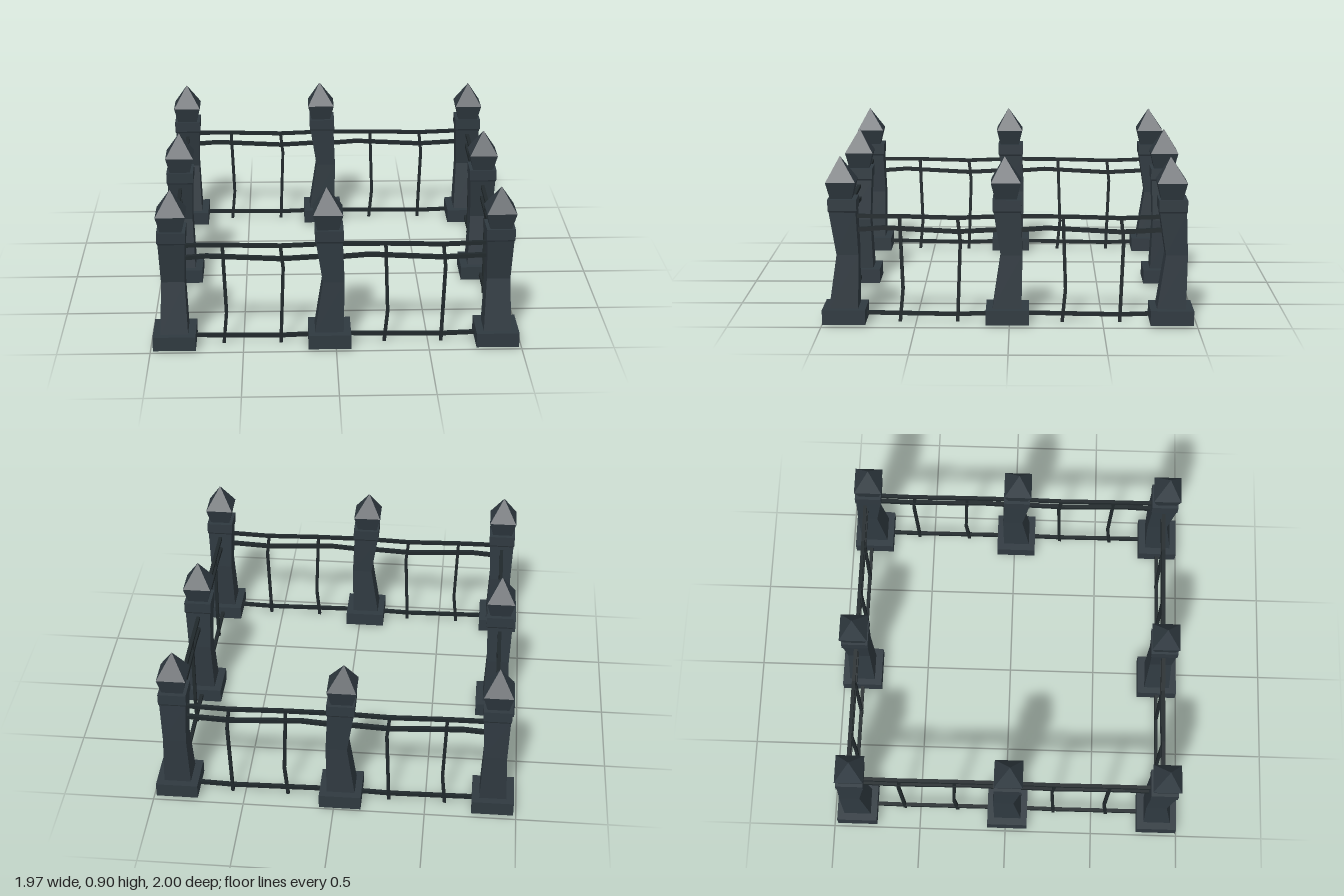
import * as THREE from 'three';

const stone = new THREE.MeshStandardMaterial({ color: 0x2f3940, flatShading: true });
stone.name = 'slateStone';
const iron = new THREE.MeshStandardMaterial({ color: 0x20282b, flatShading: true });
iron.name = 'darkIron';

// Square-section column through rings of [height, centre x, half width x, half depth z]
function loft(rings) {
  const n = rings.length - 1;
  const geo = new THREE.BoxGeometry(2, 1, 2, 1, n, 1);
  const p = geo.attributes.position;
  for (let i = 0; i < p.count; i++) {
    const [y, cx, hx, hz] = rings[Math.round((p.getY(i) + 0.5) * n)];
    p.setXYZ(i, cx + Math.sign(p.getX(i)) * hx, y, Math.sign(p.getZ(i)) * hz);
  }
  const flat = geo.toNonIndexed();
  flat.computeVertexNormals();
  return flat;
}

function add(group, name, geo, mat) {
  const mesh = new THREE.Mesh(geo, mat);
  mesh.name = name;
  group.add(mesh);
  return mesh;
}

function square(Path, h) {
  return new Path([[-h, -h], [h, -h], [h, h], [-h, h]].map(([x, y]) => new THREE.Vector2(x, y)));
}

// Plinth hollowed from below
const plinthShape = square(THREE.Shape, 0.115);
plinthShape.holes.push(square(THREE.Path, 0.065));
const plinthGeo = new THREE.ExtrudeGeometry(plinthShape, { depth: 0.08, bevelEnabled: false });
plinthGeo.rotateX(-Math.PI / 2).translate(0, 0.01, 0);

// Crooked shaft with a slightly wider head
const shaftGeo = loft([
  [0.06, -0.002, 0.077, 0.074],
  [0.09, -0.002, 0.077, 0.074],
  [0.38, 0.022, 0.058, 0.063],
  [0.61, -0.001, 0.071, 0.071],
  [0.62, -0.001, 0.076, 0.076],
  [0.68, -0.002, 0.076, 0.076],
]);

// Pointed finial
const finialGeo = loft([
  [0.67, -0.008, 0.055, 0.055],
  [0.77, -0.008, 0.079, 0.079],
  [0.9, -0.015, 0.001, 0.001],
]);

function makePost() {
  const post = new THREE.Group();
  post.name = 'post';
  add(post, 'plinth', plinthGeo, stone);
  add(post, 'shaft', shaftGeo, stone);
  add(post, 'finial', finialGeo, stone);
  return post;
}

// Horizontal bar through [x, y] points
const railGeo = (pts, r) =>
  loft(pts.map(([x, y]) => [x, -y, r, r])).rotateZ(Math.PI / 2).scale(-1, -1, 1).translate(0, 0, 0);
// Upright bar through [x, y] points, listed bottom to top
const picketGeo = (pts, r) => loft(pts.map(([x, y]) => [y, x, r, r]));

// Bent rails and pickets of one panel
const rails = [
  ['topRail', [[-0.4, 0.578], [-0.15, 0.577], [0.155, 0.569], [0.4, 0.578]], 0.01],
  ['middleRail', [[-0.4, 0.503], [-0.24, 0.515], [0.155, 0.494], [0.4, 0.507]], 0.011],
  ['bottomRail', [[-0.4, 0.05], [-0.15, 0.046], [0.155, 0.041], [0.4, 0.05]], 0.01],
].map(([name, pts, r]) => [name, railGeo(pts, r)]);
const pickets = [
  [[-0.157, 0], [-0.14, 0.18], [-0.154, 0.57]],
  [[0.152, 0], [0.168, 0.44], [0.154, 0.57]],
].map((pts) => ['picket', picketGeo(pts, 0.009)]);

function makePanel() {
  const panel = new THREE.Group();
  panel.name = 'fencePanel';
  for (const [name, geo] of [...rails, ...pickets]) add(panel, name, geo, iron);
  return panel;
}

export function createModel() {
  const model = new THREE.Group();
  model.name = 'fenceEnclosure';
  const place = (part, x, z, turned) => {
    part.position.set(x, 0, z);
    if (turned) part.rotation.y = Math.PI / 2;
    model.add(part);
  };

  // Front and back runs
  for (const z of [0.88, -0.885]) {
    place(makePost(), -0.035, z, false);
    for (const x of [-0.45, 0.42]) place(makePanel(), x, z, false);
  }
  // Side runs with the corner posts
  for (const x of [-0.87, 0.87]) {
    for (const z of [0.88, 0.01, -0.865]) place(makePost(), x, z, true);
    for (const z of [0.43, -0.44]) place(makePanel(), x, z, true);
  }
  return model;
}
